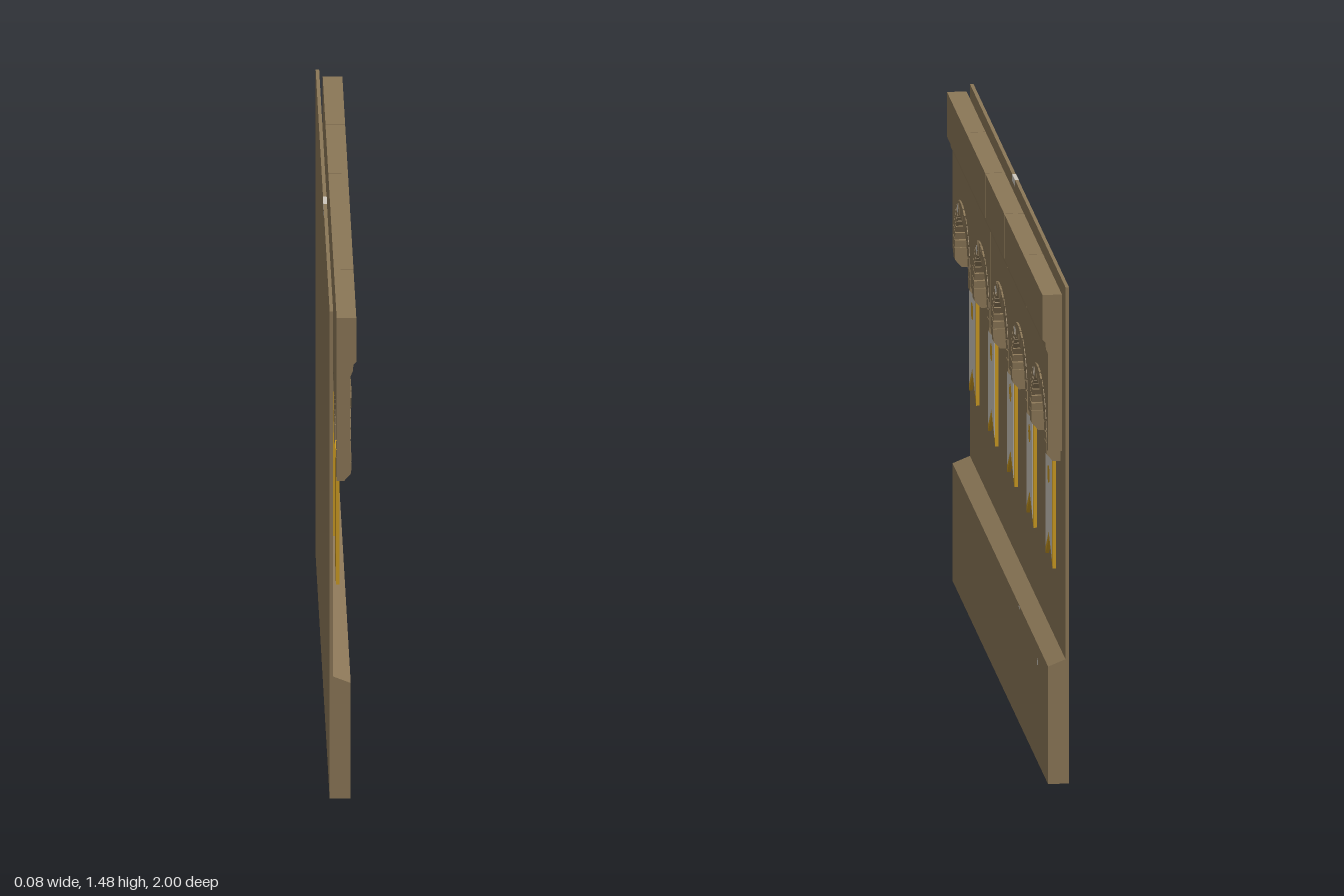
import * as THREE from 'three';

const stone = new THREE.MeshStandardMaterial({ color: 0x8b7757 });
stone.name = 'stone';
const cloth = new THREE.MeshStandardMaterial({ color: 0xcdc7bc });
cloth.name = 'paleCloth';
const gold = new THREE.MeshStandardMaterial({ color: 0xcb9a22 });
gold.name = 'gold';

const shapeOf = (pts) => new THREE.Shape(pts.map(([a, b]) => new THREE.Vector2(a, b)));

function addMesh(parent, name, geometry, material) {
  const mesh = new THREE.Mesh(geometry, material);
  mesh.name = name;
  parent.add(mesh);
  return mesh;
}

// Profile in (x, y) swept along z, centred on z
function sweep(points, length, z = 0) {
  const g = new THREE.ExtrudeGeometry(shapeOf(points), { depth: length, bevelEnabled: false });
  return g.translate(0, 0, z - length / 2);
}

// Outline in the wall plane (-z, y), thickened from x0 to x1
function slab(shape, x0, x1) {
  const g = new THREE.ExtrudeGeometry(shape, { depth: x1 - x0, bevelEnabled: false, curveSegments: 20 });
  return g.rotateY(Math.PI / 2).translate(x0, 0, 0);
}

const ARCH_Y = 1.01, R_IN = 0.135, R_OUT = 0.177, STONES = 17;

function archBay(z) {
  const bay = new THREE.Group();
  bay.name = 'archBay';
  bay.position.z = z;

  // Panel with a round-headed opening
  const r = 0.157, w = 0.1985;
  const s = new THREE.Shape();
  s.moveTo(-w, 0.99);
  s.lineTo(-r, 0.99);
  s.lineTo(-r, ARCH_Y);
  s.absarc(0, ARCH_Y, r, Math.PI, 0, true);
  s.lineTo(r, 0.99);
  s.lineTo(w, 0.99);
  s.lineTo(w, 1.285);
  s.lineTo(-w, 1.285);
  addMesh(bay, 'archPanel', slab(s, -0.02, 0.02), stone);

  // Stepped cornice
  addMesh(bay, 'cornice', sweep([
    [-0.02, 1.28], [0.02, 1.28], [0.026, 1.295], [0.028, 1.315],
    [0.036, 1.323], [0.036, 1.456], [-0.02, 1.456],
  ], 2 * w), stone);

  // Ring of wedge stones, the crown standing slightly proud
  const step = Math.PI / STONES, gap = 0.015;
  for (let i = 0; i < STONES; i++) {
    const a = i * step + gap, b = (i + 1) * step - gap;
    const at = (rad, t) => [rad * Math.cos(t), ARCH_Y + rad * Math.sin(t)];
    const crown = Math.abs(i - (STONES - 1) / 2) < 3;
    addMesh(bay, 'archStone',
      slab(shapeOf([at(R_IN, a), at(R_OUT, a), at(R_OUT, b), at(R_IN, b)]), -0.02, crown ? 0.025 : 0.022), stone);
  }

  // Springers and corbels under both ends
  for (const side of [-1, 1]) {
    const springer = addMesh(bay, 'springer', new THREE.BoxGeometry(0.042, 0.024, 0.04), stone);
    springer.position.set(0.001, 0.998, side * 0.156);
    addMesh(bay, 'corbel', sweep([
      [-0.02, 0.952], [0.002, 0.952], [0.021, 0.974], [0.021, 0.986], [-0.02, 0.986],
    ], 0.034, side * 0.153), stone);
  }
  return bay;
}

function banner(z) {
  const g = new THREE.Group();
  g.name = 'banner';
  g.position.z = z;
  const outline = (h, top, tip, notch) => shapeOf([[-h, top], [-h, tip], [0, notch], [h, tip], [h, top]]);
  addMesh(g, 'bannerTrim', slab(outline(0.075, 0.986, 0.603, 0.672), -0.02, -0.01), gold);
  addMesh(g, 'bannerCloth', slab(outline(0.067, 0.978, 0.628, 0.692), -0.011, -0.009), cloth);
  const emblem = addMesh(g, 'emblem', new THREE.CircleGeometry(0.024, 8).rotateY(Math.PI / 2), gold);
  emblem.position.set(-0.0085, 0.862, 0);
  emblem.scale.y = 1.15;
  return g;
}

// Thin pale chip on the wall surface
function chip(parent, x, y, z, rz, ry, facing = 1) {
  const m = addMesh(parent, 'paleChip', new THREE.CircleGeometry(1, 7).rotateY(facing * Math.PI / 2), cloth);
  m.position.set(x, y, z);
  m.scale.set(1, ry, rz);
}

export function createModel() {
  const model = new THREE.Group();
  model.name = 'wallSection';

  // Back wall and sloped plinth
  const wall = addMesh(model, 'backWall', new THREE.BoxGeometry(0.01, 1.477, 2), stone);
  wall.position.set(-0.035, 0.7385, 0);
  addMesh(model, 'plinth', sweep([
    [-0.035, 0], [0.02, 0], [0.02, 0.35], [-0.03, 0.37], [-0.035, 0.37],
  ], 2), stone);

  // Five repeating bays
  for (let i = -2; i <= 2; i++) {
    const z = i * 0.4;
    model.add(archBay(z), banner(z));
    chip(model, 0.0256, 1.153, z + 0.055, 0.014, 0.014);
  }

  // Scattered chips
  chip(model, -0.0295, 1.043, -0.308, 0.017, 0.015);
  chip(model, -0.0295, 0.672, -0.322, 0.022, 0.03);
  chip(model, 0.0205, 0.298, -0.78, 0.01, 0.012);
  chip(model, 0.0205, 0.345, -0.4, 0.018, 0.004);
  chip(model, -0.0405, 1.448, 0.083, 0.03, 0.027, -1);
  const capChip = addMesh(model, 'capChip', new THREE.BoxGeometry(0.0105, 0.02, 0.06), cloth);
  capChip.position.set(-0.035, 1.4675, 0.083);
  capChip.scale.x = 1.05;
  return model;
}
